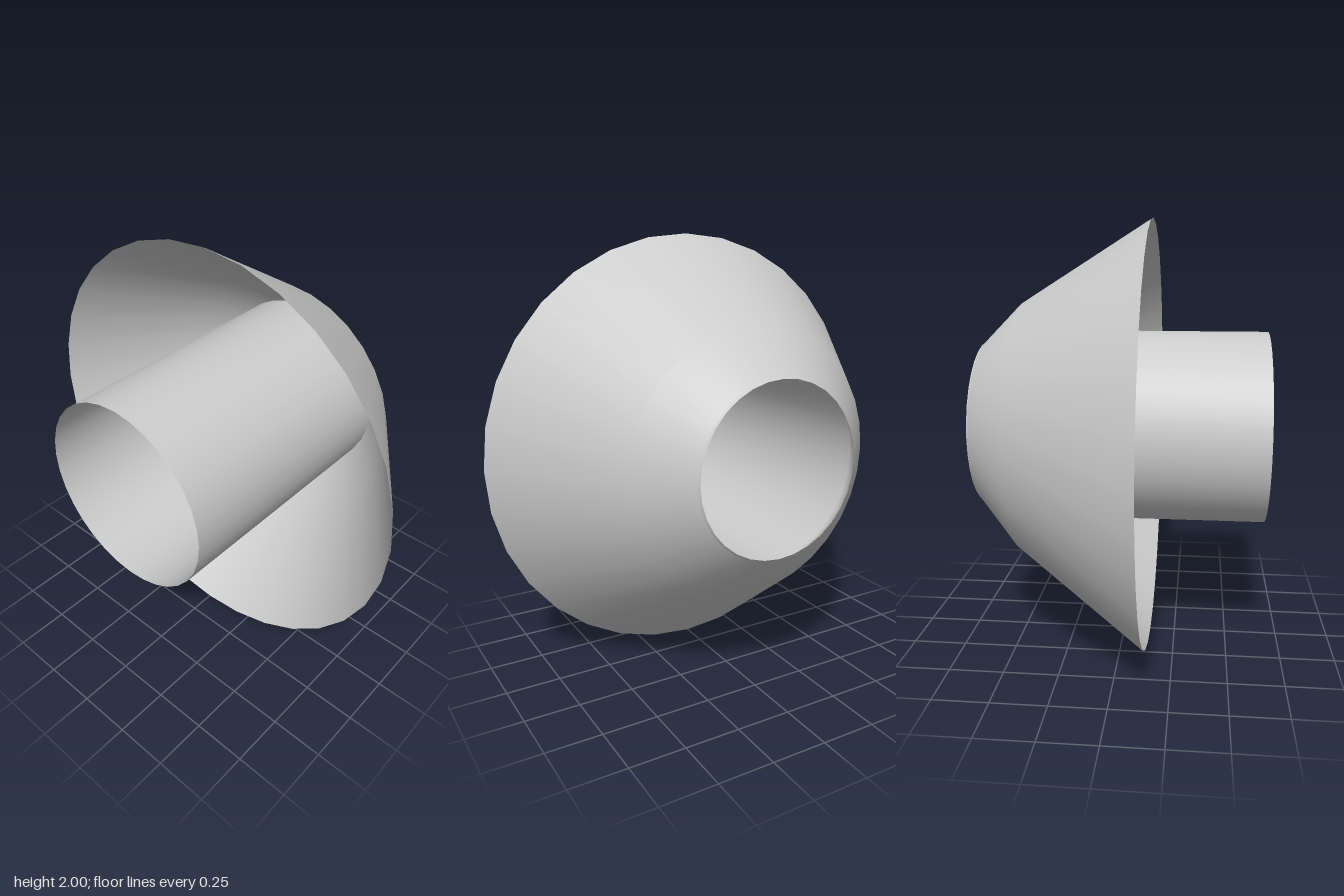
import * as THREE from 'three';

const SEGMENTS = 32;

// Smooth open shell through circular rings [z, radius, centreY], listed front to back
function loftRings(name, rings) {
  const positions = [];
  const index = [];
  rings.forEach(([z, radius, centreY], i) => {
    for (let j = 0; j < SEGMENTS; j++) {
      const angle = (j / SEGMENTS) * Math.PI * 2;
      positions.push(radius * Math.cos(angle), centreY + radius * Math.sin(angle), z);
      if (i === rings.length - 1) continue;
      const next = (j + 1) % SEGMENTS;
      const a = i * SEGMENTS + j;
      const b = i * SEGMENTS + next;
      const c = a + SEGMENTS;
      const d = b + SEGMENTS;
      index.push(a, c, b, b, c, d);
    }
  });
  const geometry = new THREE.BufferGeometry();
  geometry.setAttribute('position', new THREE.Float32BufferAttribute(positions, 3));
  geometry.setIndex(index);
  geometry.computeVertexNormals();
  const material = new THREE.MeshStandardMaterial({ color: 0xcccccc, side: THREE.DoubleSide });
  const mesh = new THREE.Mesh(geometry, material);
  mesh.name = name;
  return mesh;
}

export function createModel() {
  const group = new THREE.Group();
  group.name = 'flaredCollar';

  // Wide flared skirt, its rim slightly lower than its back opening
  group.add(loftRings('flaredSkirt', [
    [0.13, 1.0, 1.0],
    [-0.46, 0.595, 1.035],
    [-0.66, 0.38, 1.05],
  ]));

  // Open tube through the middle, narrowing to the back opening
  group.add(loftRings('innerTube', [
    [0.66, 0.445, 1.047],
    [-0.56, 0.445, 1.047],
    [-0.66, 0.383, 1.05],
  ]));

  return group;
}
